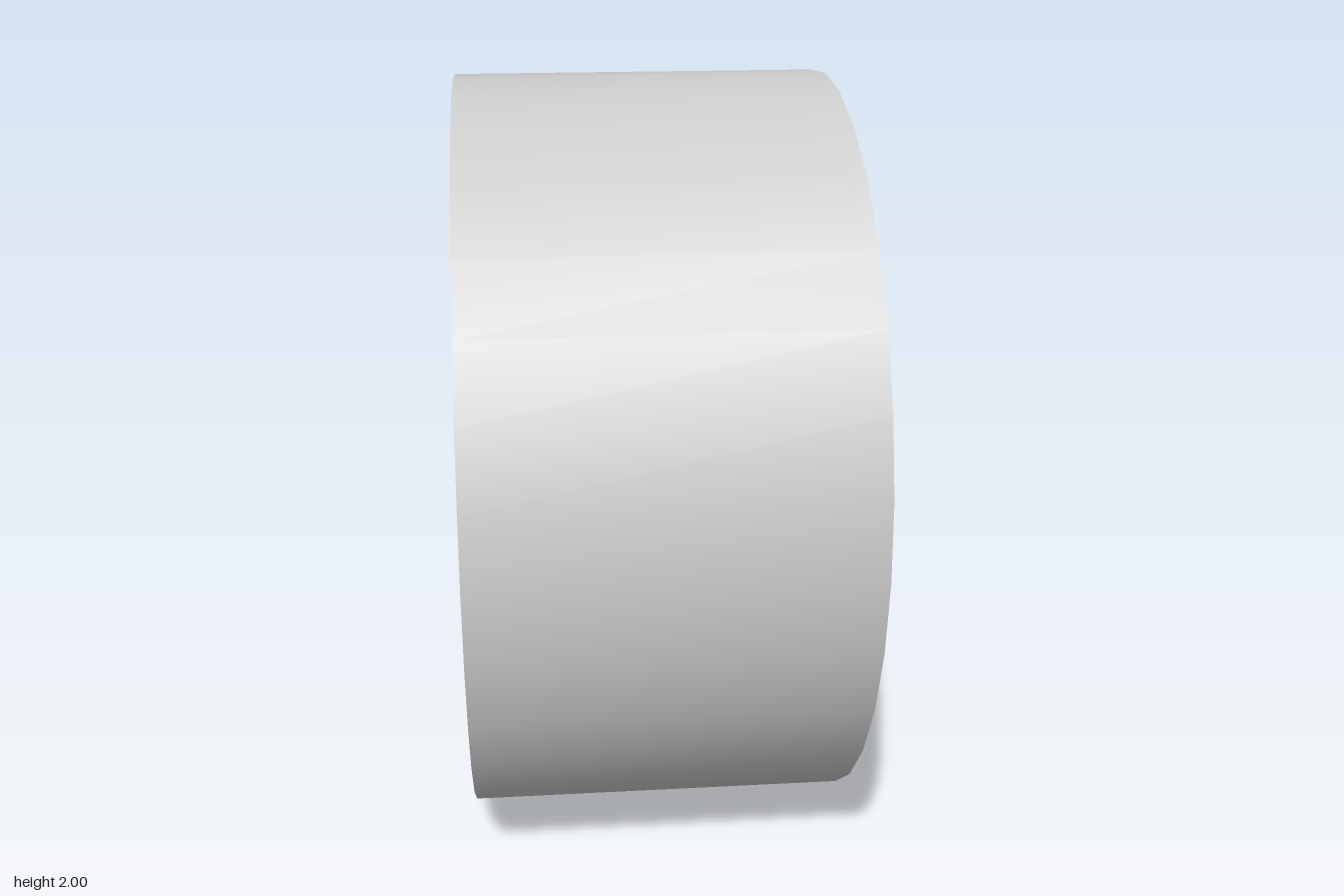
import * as THREE from 'three';
import { toCreasedNormals } from 'three/addons/utils/BufferGeometryUtils.js';

const metal = new THREE.MeshStandardMaterial({ color: 0xcccccc });
metal.name = 'grey metal';

// Add a named mesh to a parent
function add(parent, name, geometry) {
  const mesh = new THREE.Mesh(geometry, metal);
  mesh.name = name;
  parent.add(mesh);
  return mesh;
}

// Solid of revolution about the x axle; points are [radius, x]
function turned(points, segments = 32, crease = 0.6) {
  const g = new THREE.LatheGeometry(points.map(([r, x]) => new THREE.Vector2(r, x)), segments);
  g.rotateZ(-Math.PI / 2);
  return toCreasedNormals(g, crease);
}

// One curved spoke pointing up: stations are [radius, front x, back x, front half width, back half width]
function spokeGeometry() {
  const stations = [
    [0.235, 0.275, 0.14, 0.036, 0.05],
    [0.29, 0.283, 0.145, 0.034, 0.053],
    [0.36, 0.318, 0.175, 0.032, 0.05],
    [0.45, 0.362, 0.222, 0.031, 0.045],
    [0.55, 0.392, 0.258, 0.03, 0.041],
    [0.65, 0.405, 0.278, 0.029, 0.037],
    [0.75, 0.402, 0.285, 0.028, 0.034],
    [0.85, 0.383, 0.278, 0.028, 0.031],
    [0.935, 0.352, 0.262, 0.028, 0.029],
  ];
  const n = 16;
  const pos = [], index = [];
  const soften = (v) => Math.sign(v) * Math.abs(v) ** 0.6;
  for (const [r, front, back, wf, wb] of stations) {
    for (let j = 0; j < n; j++) {
      const t = (j / n) * Math.PI * 2;
      const c = soften(Math.cos(t));
      const k = (c + 1) / 2;
      pos.push(back + (front - back) * k, r, soften(Math.sin(t)) * (wb + (wf - wb) * k));
    }
  }
  for (let i = 0; i < stations.length - 1; i++) {
    for (let j = 0; j < n; j++) {
      const a = i * n + j, b = i * n + ((j + 1) % n);
      index.push(a, a + n, b, b, a + n, b + n);
    }
  }
  // Flat tip
  const last = (stations.length - 1) * n;
  for (let j = 1; j < n - 1; j++) index.push(last, last + j + 1, last + j);
  const g = new THREE.BufferGeometry();
  g.setAttribute('position', new THREE.Float32BufferAttribute(pos, 3));
  g.setIndex(index);
  return toCreasedNormals(g, 0.75);
}

export function createModel() {
  const model = new THREE.Group();
  model.name = 'wheel';
  const wheel = new THREE.Group();
  wheel.name = 'wheelAssembly';
  wheel.position.y = 1;
  model.add(wheel);

  // Wide barrel with a tapered front lip and inner ledge
  add(wheel, 'rim', turned([
    [1, -0.49], [1, 0.49], [0.968, 0.49], [0.928, 0.32],
    [0.885, 0.31], [0.885, -0.49], [1, -0.49],
  ], 32, 0.4));

  // Sixteen spokes bulging outwards between hub and lip
  const spokes = new THREE.Group();
  spokes.name = 'spokes';
  wheel.add(spokes);
  const spoke = spokeGeometry();
  for (let i = 0; i < 16; i++) {
    add(spokes, 'spoke', spoke).rotation.x = (i * Math.PI) / 8;
  }

  // Hub with dished face
  add(wheel, 'hub', turned([
    [0, 0.1], [0.24, 0.1], [0.285, 0.14], [0.292, 0.23], [0.283, 0.265],
    [0.265, 0.287], [0.245, 0.295], [0.228, 0.288], [0.215, 0.265],
    [0.2, 0.247], [0.18, 0.24], [0, 0.24],
  ], 48));

  // Domed centre cap
  add(wheel, 'centreCap', turned([
    [0.11, 0.23], [0.11, 0.29], [0.104, 0.3], [0.085, 0.312],
    [0.06, 0.322], [0.03, 0.328], [0, 0.33],
  ]));

  // Five rounded lug nuts
  const nut = turned([
    [0.03, 0.23], [0.03, 0.265], [0.026, 0.28], [0.015, 0.291], [0, 0.295],
  ], 16, 0.8);
  for (let i = 0; i < 5; i++) {
    const a = (i * Math.PI * 2) / 5;
    add(wheel, 'lugNut', nut).position.set(0, 0.16 * Math.cos(a), 0.16 * Math.sin(a));
  }

  // Brake disc with raised tapered centre and axle to the hub
  add(wheel, 'brakeDisc', turned([
    [0, -0.13], [0.718, -0.13], [0.718, -0.08], [0, -0.08],
  ]));
  add(wheel, 'discCentre', turned([
    [0.355, -0.09], [0.355, -0.07], [0.3, 0], [0, 0],
  ], 32, 0.4));
  add(wheel, 'axle', turned([[0.2, -0.02], [0.2, 0.12]]));

  return model;
}
